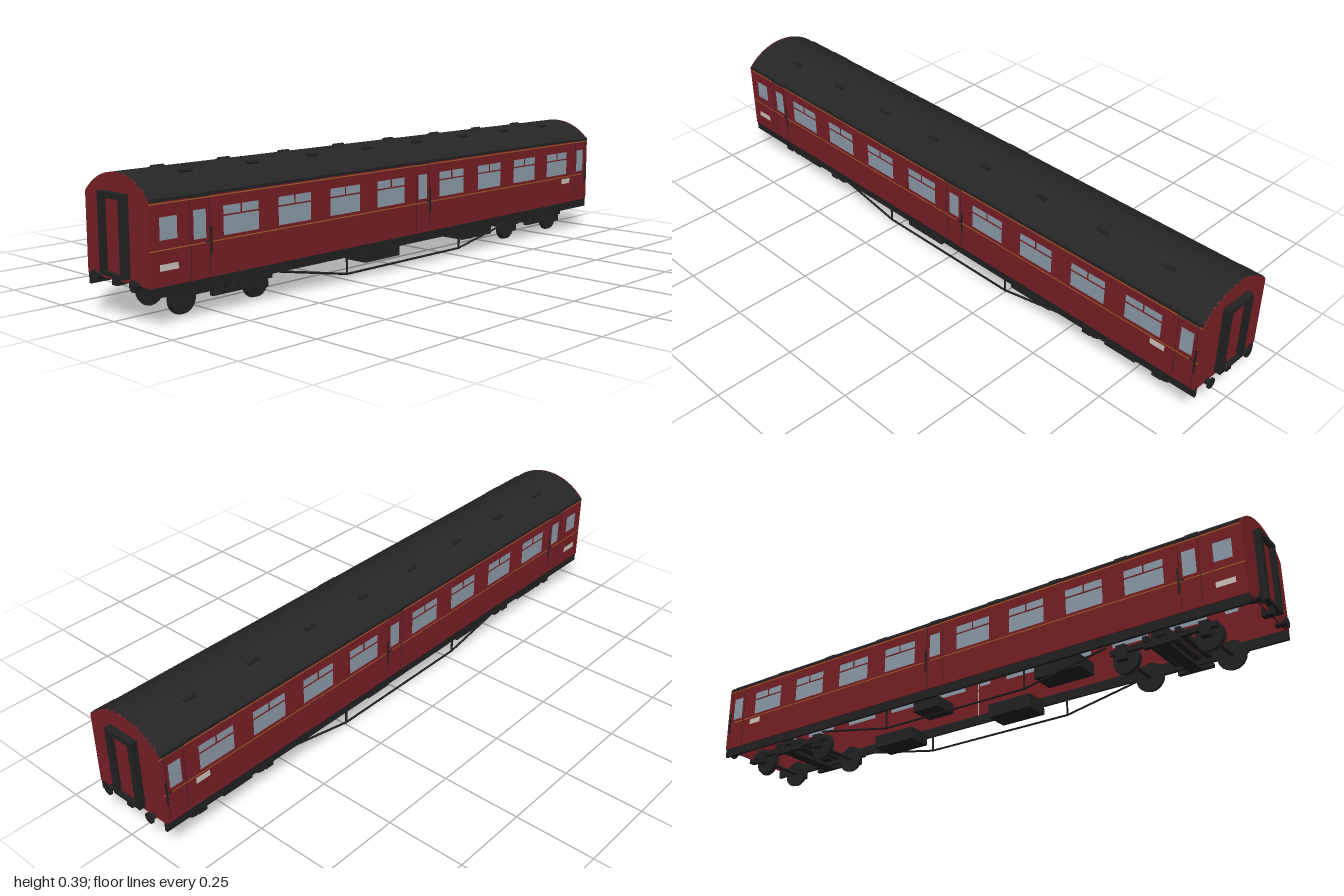
import * as THREE from 'three';

const mat = (color, side = THREE.FrontSide) => new THREE.MeshStandardMaterial({ color, side });
const red = mat(0x7a2026);
const black = mat(0x222222);
const roofMat = mat(0x262626);
const glass = mat(0x8f9eac);
const cream = mat(0xcfc8bd);
const orange = mat(0xa8662c);

const L = 0.98;     // half length of the body
const W = 0.14;     // half width
const EAVE = 0.328;
const TOP = 0.39;
const FLOOR = 0.105;
const SPLIT = -0.086; // panel gap beside the middle door

function add(parent, name, geometry, material, x = 0, y = 0, z = 0) {
  const m = new THREE.Mesh(geometry, material);
  m.name = name;
  m.position.set(x, y, z);
  parent.add(m);
  return m;
}

// box given by its limits on each axis
function box(parent, name, material, x0, x1, y0, y1, z0, z1) {
  return add(parent, name, new THREE.BoxGeometry(Math.abs(x1 - x0), Math.abs(y1 - y0), Math.abs(z1 - z0)), material,
    (x0 + x1) / 2, (y0 + y1) / 2, (z0 + z1) / 2);
}

// square rod between two points
function rod(parent, name, a, b, r) {
  const p = new THREE.Vector3(...a), q = new THREE.Vector3(...b);
  const m = add(parent, name, new THREE.CylinderGeometry(r, r, p.distanceTo(q), 6), black);
  m.position.copy(p).add(q).multiplyScalar(0.5);
  m.quaternion.setFromUnitVectors(new THREE.Vector3(0, 1, 0), q.sub(p).normalize());
}

function rect(P, x0, x1, y0, y1) {
  const p = new P();
  p.moveTo(x0, y0);
  p.lineTo(x1, y0);
  p.lineTo(x1, y1);
  p.lineTo(x0, y1);
  p.closePath();
  return p;
}

const extrude = (shape, depth) => new THREE.ExtrudeGeometry(shape, { depth, bevelEnabled: false, curveSegments: 24 });

// openings along a side: centre z, width, bottom, top
const doors = [0.82, -0.058, -0.935];
const saloon = [0.68, 0.485, 0.285, 0.088, -0.2, -0.397, -0.594, -0.79];
const openings = [
  ...saloon.map(z => ({ z, w: 0.124, y0: 0.21, y1: 0.29, barred: true })),
  ...doors.map(z => ({ z, w: 0.042, y0: 0.212, y1: 0.29 })),
  { z: 0.92, w: 0.056, y0: 0.225, y1: 0.285 },
];

function bodySide(s) {
  const g = new THREE.Group();
  g.name = s > 0 ? 'leftSide' : 'rightSide';
  const t = 0.005, xin = W - t;
  // wall panels with window openings
  for (const [z0, z1] of [[-L, SPLIT - 0.002], [SPLIT + 0.002, L]]) {
    const shape = rect(THREE.Shape, z0, z1, FLOOR, EAVE);
    for (const o of openings) {
      if (o.z > z0 && o.z < z1) shape.holes.push(rect(THREE.Path, o.z - o.w / 2, o.z + o.w / 2, o.y0, o.y1));
    }
    add(g, 'sidePanel', extrude(shape, t).rotateY(-Math.PI / 2), red, s > 0 ? W : -xin);
  }
  // panes and window bars
  for (const o of openings) {
    box(g, 'windowPane', glass, s * (W - 0.0035), s * (W - 0.0015), o.y0, o.y1, o.z - o.w / 2, o.z + o.w / 2);
    if (!o.barred) continue;
    box(g, 'windowTransom', red, s * xin, s * W, 0.262, 0.266, o.z - o.w / 2, o.z + o.w / 2);
    box(g, 'windowDivider', red, s * xin, s * W, 0.264, 0.29, o.z - 0.002, o.z + 0.002);
  }
  // door furniture and rain strips
  for (const z of doors) {
    box(g, 'doorHandrail', black, s * W, s * (W + 0.003), 0.165, 0.242, z - 0.037, z - 0.033);
    box(g, 'doorHandle', black, s * W, s * (W + 0.002), 0.2, 0.204, z - 0.03, z - 0.018);
    for (const e of [-1, 1]) {
      box(g, 'doorEdge', black, s * W, s * (W + 0.0006), 0.112, 0.318, z + e * 0.031 - 0.0006, z + e * 0.031 + 0.0006);
    }
    box(g, 'rainStrip', black, s * (W - 0.002), s * (W + 0.003), 0.323, 0.332, z - 0.036, z + 0.036);
  }
  // lining and panels
  for (const y of [0.2, 0.32]) {
    for (const [z0, z1] of [[-L, SPLIT - 0.002], [SPLIT + 0.002, L]]) {
      box(g, 'lining', orange, s * W, s * (W + 0.0006), y - 0.0015, y + 0.0015, z0, z1);
    }
  }
  box(g, 'sidePlate', cream, s * W, s * (W + 0.001), 0.146, 0.163, 0.892, 0.95);
  box(g, 'sidePlate', cream, s * W, s * (W + 0.001), 0.175, 0.193, -0.87, -0.822);
  box(g, 'soleBar', black, s * 0.128, s * 0.137, 0.077, 0.107, -L, L);
  // underframe truss
  const x = s * 0.121;
  const path = [[x, 0.076, 0.54], [x, 0.022, 0.262], [x, 0.022, -0.262], [x, 0.076, -0.54]];
  for (let i = 0; i < 3; i++) rod(g, 'trussRod', path[i], path[i + 1], 0.0035);
  for (const z of [0.262, -0.262]) rod(g, 'trussPost', [x, 0.02, z], [x, 0.085, z], 0.0035);
  return g;
}

const rise = TOP - EAVE;
const R = (W * W + rise * rise) / (2 * rise);
const half = Math.asin(W / R);

function roof() {
  const g = new THREE.Group();
  g.name = 'roof';
  const shape = new THREE.Shape();
  shape.absarc(0, TOP - R, R, Math.PI / 2 - half, Math.PI / 2 + half, false);
  shape.absarc(0, TOP - R, R - 0.004, Math.PI / 2 + half, Math.PI / 2 - half, true);
  add(g, 'roofSkin', extrude(shape, 2 * L - 0.002), roofMat, 0, 0, -L + 0.001);
  for (const s of [-1, 1]) {
    box(g, 'gutter', black, s * (W - 0.004), s * (W + 0.001), EAVE - 0.003, EAVE + 0.004, -L + 0.002, L - 0.002);
    // ventilators
    for (let i = 0; i < 8; i++) {
      const v = add(g, 'ventilator', new THREE.CylinderGeometry(0.007, 0.007, 0.04, 8).rotateX(Math.PI / 2), black,
        s * 0.062, 0.382, -0.803 + i * 0.2294);
      v.scale.y = 0.75;
    }
  }
  return g;
}

function coachEnd() {
  const g = new THREE.Group();
  // end wall following the roof curve
  const wall = new THREE.Shape();
  wall.moveTo(-W, FLOOR);
  wall.lineTo(W, FLOOR);
  wall.absarc(0, TOP - R, R, Math.PI / 2 - half, Math.PI / 2 + half, false);
  wall.closePath();
  add(g, 'endWall', extrude(wall, 0.006), red, 0, 0, L - 0.006);
  // gangway connection
  const frame = rect(THREE.Shape, -0.055, 0.055, 0.118, 0.339);
  frame.holes.push(rect(THREE.Path, -0.037, 0.037, 0.127, 0.324));
  add(g, 'gangwayFrame', extrude(frame, 0.02), black, 0, 0, L);
  box(g, 'gangwayDoor', red, -0.037, 0.037, 0.127, 0.324, L, L + 0.006);
  // buffers and coupler
  for (const s of [-1, 1]) {
    add(g, 'bufferShank', new THREE.CylinderGeometry(0.009, 0.009, 0.03, 12).rotateX(Math.PI / 2), black, s * 0.087, 0.107, 0.978);
    add(g, 'bufferHead', new THREE.CylinderGeometry(0.0165, 0.0165, 0.005, 20).rotateX(Math.PI / 2), black, s * 0.087, 0.107, 0.9945);
  }
  box(g, 'coupler', black, -0.011, 0.011, 0.095, 0.12, 0.96, 0.993);
  return g;
}

function bogie(z) {
  const g = new THREE.Group();
  g.name = 'bogie';
  g.position.z = z;
  for (const e of [-1, 1]) {
    const az = e * 0.128;
    add(g, 'axle', new THREE.CylinderGeometry(0.006, 0.006, 0.2, 10).rotateZ(Math.PI / 2), black, 0, 0.045, az);
    box(g, 'bogieCrossbar', black, -0.11, 0.11, 0.067, 0.084, e * 0.05 - 0.008, e * 0.05 + 0.008);
    for (const s of [-1, 1]) {
      add(g, 'wheel', new THREE.CylinderGeometry(0.042, 0.042, 0.012, 24).rotateZ(Math.PI / 2), black, s * 0.073, 0.045, az);
      add(g, 'wheelFlange', new THREE.CylinderGeometry(0.045, 0.045, 0.003, 24).rotateZ(Math.PI / 2), black, s * 0.0675, 0.045, az);
      box(g, 'axleBox', black, s * 0.09, s * 0.11, 0.035, 0.08, az - 0.015, az + 0.015);
    }
  }
  for (const s of [-1, 1]) {
    box(g, 'bogieSideFrame', black, s * 0.092, s * 0.104, 0.056, 0.072, -0.165, 0.165);
    box(g, 'springPlank', black, s * 0.1, s * 0.114, 0.044, 0.056, -0.055, 0.055);
    for (const z0 of [-0.022, 0.022]) {
      add(g, 'bolsterSpring', new THREE.CylinderGeometry(0.009, 0.009, 0.03, 10), black, s * 0.108, 0.066, z0);
    }
  }
  box(g, 'bolster', black, -0.115, 0.115, 0.07, 0.086, -0.025, 0.025);
  box(g, 'lowerBeam', black, -0.105, 0.105, 0.044, 0.055, -0.02, 0.02);
  return g;
}

export function createModel() {
  const model = new THREE.Group();
  model.name = 'railwayCoach';
  model.add(bodySide(1), bodySide(-1), roof());

  const front = coachEnd();
  front.name = 'frontEnd';
  const back = coachEnd();
  back.name = 'backEnd';
  back.rotation.y = Math.PI;
  model.add(front, back, bogie(0.706), bogie(-0.706));

  // equipment boxes slung under the frame: side, z limits, bottom
  for (const [s, z0, z1, y0] of [[-1, 0.295, 0.45, 0.047], [1, 0.025, 0.18, 0.042], [-1, -0.155, -0.06, 0.052], [1, -0.44, -0.285, 0.045]]) {
    box(model, 'equipmentBox', black, s * 0.035, s * 0.118, y0, 0.086, z0, z1);
  }
  return model;
}
